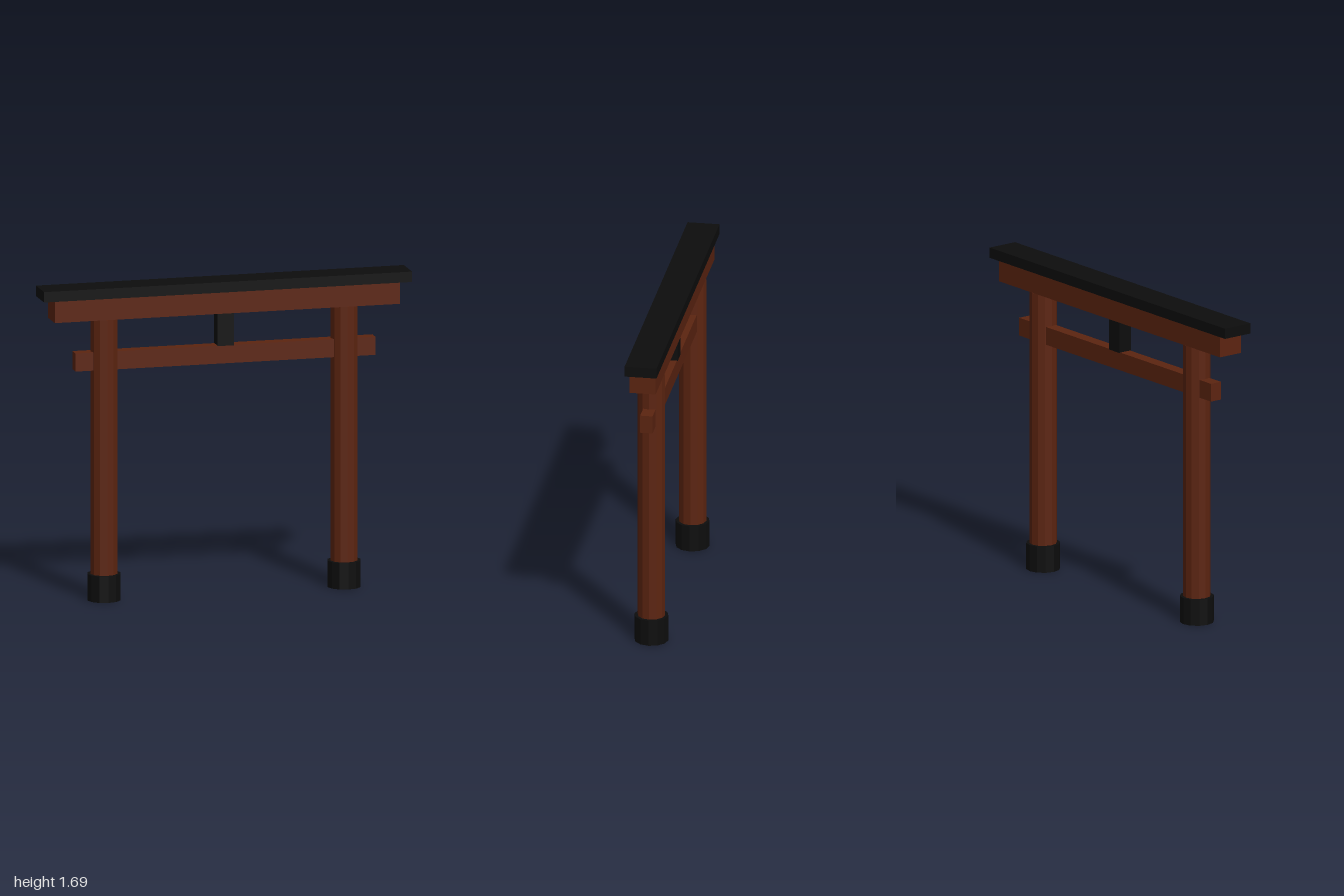
import * as THREE from 'three';

const timber = new THREE.MeshStandardMaterial({ color: 0x5c2410, flatShading: true });
timber.name = 'russet timber';
const black = new THREE.MeshStandardMaterial({ color: 0x0d0d0d, flatShading: true });
black.name = 'black lacquer';

export function createModel() {
  const group = new THREE.Group();
  group.name = 'gateway';

  const add = (name, geometry, material, x, y) => {
    const mesh = new THREE.Mesh(geometry, material);
    mesh.name = name;
    mesh.position.set(x, y, 0);
    group.add(mesh);
  };
  // Box centred on x = 0 between two heights
  const beam = (name, material, width, bottom, top, depth) =>
    add(name, new THREE.BoxGeometry(width, top - bottom, depth), material, 0, (bottom + top) / 2);
  // Upright round post between two heights
  const post = (name, material, x, radius, bottom, top) =>
    add(name, new THREE.CylinderGeometry(radius, radius, top - bottom, 12), material, x, (bottom + top) / 2);

  // Pillars with their black footings
  for (const [side, x] of [['left', 0.653], ['right', -0.653]]) {
    post(side + 'Pillar', timber, x, 0.073, 0.14, 1.515);
    post(side + 'Footing', black, x, 0.09, 0, 0.142);
  }

  // Crossbeams, roof cap and central strut
  beam('lowerTieBeam', timber, 1.63, 1.24, 1.337, 0.066);
  beam('upperLintel', timber, 1.876, 1.515, 1.632, 0.14);
  beam('roofCap', black, 2, 1.632, 1.688, 0.17);
  beam('centreStrut', black, 0.088, 1.335, 1.517, 0.075);

  return group;
}
